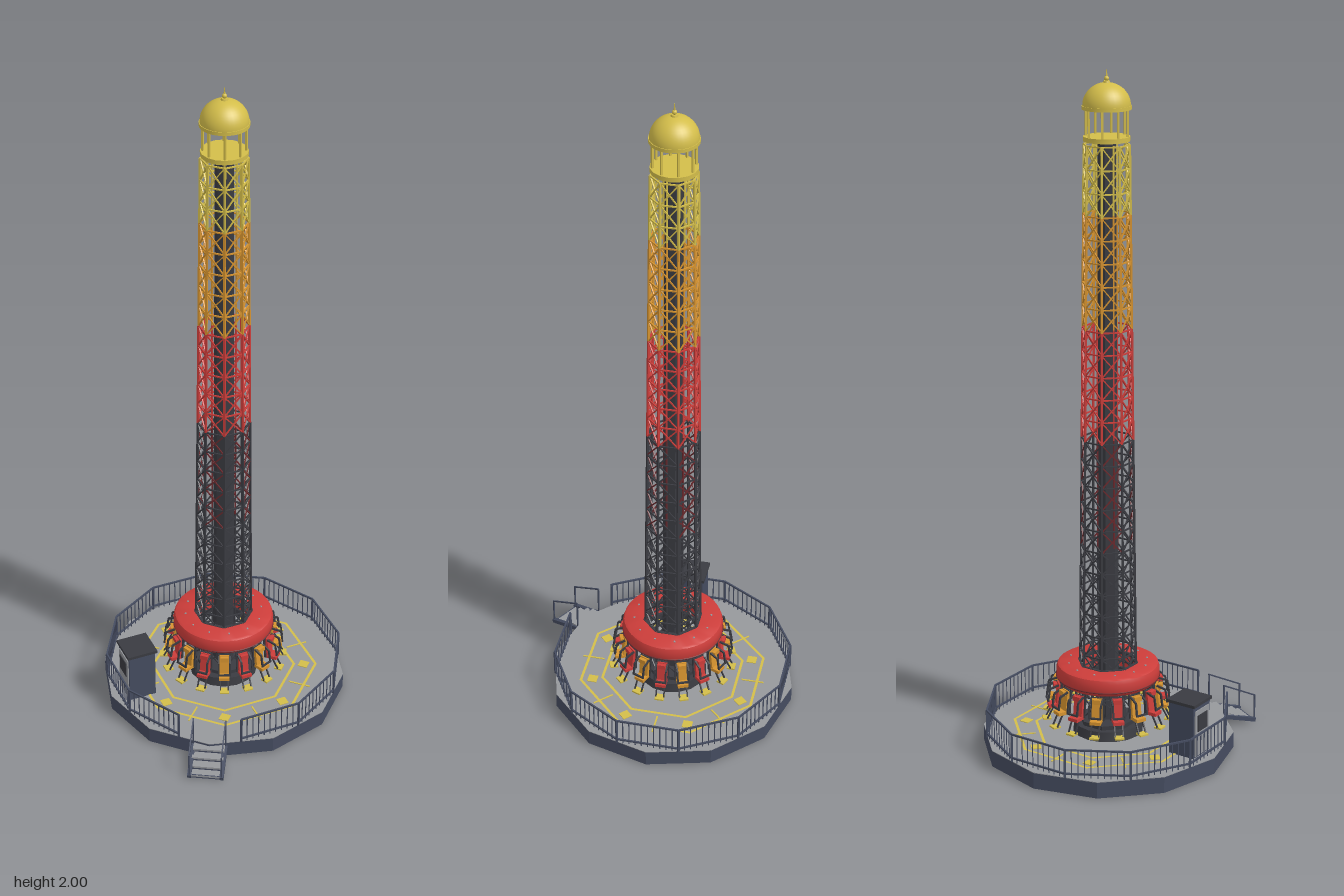
import * as THREE from 'three';
import { mergeGeometries, toCreasedNormals } from 'three/addons/utils/BufferGeometryUtils.js';

const mat = (name, color) => Object.assign(new THREE.MeshStandardMaterial({ color }), { name });
const M = {
  gray: mat('concrete gray', 0x96989c),
  slate: mat('slate blue', 0x454c60),
  charcoal: mat('charcoal', 0x3a3b41),
  darkRed: mat('dark red', 0x6b2a2e),
  red: mat('red', 0xcc3d3a),
  orange: mat('orange', 0xd6932f),
  yellow: mat('yellow', 0xd3bd4a),
};

const V = (x, y, z) => new THREE.Vector3(x, y, z);
// point at angle a from the front toward the left side
const polar = (r, y, a) => V(r * Math.sin(a), y, r * Math.cos(a));
const box = (w, h, d, x, y, z) => new THREE.BoxGeometry(w, h, d).translate(x, y, z);
const cyl = (rt, rb, y0, y1, n, start = 0) =>
  toCreasedNormals(new THREE.CylinderGeometry(rt, rb, y1 - y0, n, 1, false, start).translate(0, (y0 + y1) / 2, 0), n > 12 ? 0.6 : 0.1);

// square bar between two points
function beam(a, b, t) {
  const d = b.clone().sub(a);
  const g = new THREE.BoxGeometry(t, t, d.length());
  const q = new THREE.Matrix4().lookAt(b, a, Math.abs(d.y) > 0.99 * d.length() ? V(1, 0, 0) : V(0, 1, 0));
  return g.applyMatrix4(q).translate((a.x + b.x) / 2, (a.y + b.y) / 2, (a.z + b.z) / 2);
}

export function createModel() {
  const model = new THREE.Group();
  const ride = new THREE.Group();
  ride.name = 'towerRide';
  ride.position.z = -0.055;
  model.add(ride);
  const add = (name, geo, material) => {
    const list = (Array.isArray(geo) ? geo : [geo]).map(g => (g.index ? g.toNonIndexed() : g));
    const mesh = new THREE.Mesh(mergeGeometries(list), material);
    mesh.name = name;
    ride.add(mesh);
    return mesh;
  };
  const TAU = Math.PI * 2, deck = 0.05;

  // platform
  add('platformBase', cyl(0.373, 0.373, 0, deck - 0.002, 12, TAU / 24), M.slate);
  add('platformDeck', cyl(0.373, 0.373, deck - 0.002, deck, 12, TAU / 24), M.gray);

  // painted floor markings
  const paint = [];
  for (const a of [0.203, 0.265]) {
    const c = Math.cos(TAU / 16);
    paint.push(new THREE.RingGeometry((a - 0.004) / c, (a + 0.004) / c, 8, 1, TAU / 16)
      .rotateX(-Math.PI / 2).translate(0, deck + 0.002, 0));
  }
  for (let i = 0; i < 8; i++) {
    const a = i * TAU / 8;
    paint.push(box(0.005, 0.002, 0.068, 0, deck + 0.001, 0.251).rotateY(a));
    const p = polar(0.25, deck + 0.001, a + TAU / 16);
    paint.push(new THREE.BoxGeometry(0.029, 0.002, 0.029).rotateY(i % 2 * TAU / 8).translate(p.x, p.y, p.z));
  }
  add('floorMarkings', paint, M.yellow);

  // railing, open where the stairs arrive
  const rail = [];
  for (let i = 1; i < 12; i++) {
    const a = polar(0.362, 0, i * TAU / 12), b = polar(0.362, 0, (i + 1) * TAU / 12);
    for (const y of [0.062, 0.135]) {
      rail.push(beam(a.clone().setY(y), b.clone().setY(y), 0.005));
    }
    for (let k = 0; k <= 10; k++) {
      const p = a.clone().lerp(b, k / 10);
      rail.push(box(k % 10 ? 0.0025 : 0.006, 0.085, k % 10 ? 0.0025 : 0.006, p.x, 0.0925, p.z));
    }
  }
  add('railing', rail, M.slate);

  // entrance stairs
  const steps = [], stairRail = [];
  for (let i = 0; i < 4; i++) {
    const top = 0.042 - i * 0.011;
    steps.push(box(0.094, 0.006, 0.028, 0, top - 0.003, 0.375 + i * 0.026));
  }
  for (const s of [-0.048, 0.048]) {
    stairRail.push(beam(V(s, 0.137, 0.362), V(s, 0.085, 0.472), 0.004));
    stairRail.push(box(0.004, 0.137, 0.004, s, 0.0685, 0.364), box(0.004, 0.085, 0.004, s, 0.0425, 0.47));
    stairRail.push(beam(V(s, 0.036, 0.362), V(s, 0.006, 0.472), 0.012));
  }
  for (let i = 0; i < 4; i++) stairRail.push(box(0.09, 0.011, 0.003, 0, 0.031 - i * 0.009, 0.387 + i * 0.026));
  const treads = add('stairTreads', steps, M.gray), handrails = add('stairRails', stairRail, M.slate);
  treads.rotation.y = handrails.rotation.y = TAU / 24;

  // operator booth
  const booth = (name, g, m) => {
    const mesh = add(name, g, m);
    mesh.position.set(-0.202, 0, 0.202);
    mesh.rotation.y = -TAU / 8;
  };
  booth('boothBody', box(0.084, 0.16, 0.084, 0, deck + 0.08, 0), M.slate);
  booth('boothRoof', box(0.095, 0.009, 0.095, 0, 0.2135, 0), M.charcoal);
  booth('boothFront', box(0.072, 0.14, 0.004, 0, deck + 0.075, 0.043), M.gray);
  booth('boothWindow', box(0.05, 0.05, 0.003, 0, 0.155, 0.046), M.charcoal);

  // tower foot and core
  add('towerPlinth', [cyl(0.1, 0.105, deck, 0.078, 16), cyl(0.085, 0.085, 0.078, 0.09, 8, TAU / 16)], M.charcoal);
  add('towerCore', cyl(0.026, 0.032, 0.078, 1.8, 8, TAU / 16), M.charcoal);

  // octagonal lattice, coloured in bands of bays
  const bay = 0.065, y0 = 0.04;
  const radius = y => 0.087 - (y / 1.8) * 0.022;
  const bands = [
    ['lowerLattice', 1, 9, M.charcoal, M.charcoal], ['lowerMiddleLattice', 9, 14, M.charcoal, M.darkRed],
    ['redLattice', 14, 19, M.red, M.red], ['orangeLattice', 19, 24, M.orange, M.orange],
    ['topLattice', 24, 27, M.yellow, M.yellow],
  ];
  for (const [name, from, to, frameMat, braceMat] of bands) {
    const frame = [], brace = [], inner = [];
    for (let i = from; i < to; i++) {
      const ya = y0 + i * bay, yb = ya + bay;
      for (let k = 0; k < 8; k++) {
        const a = (k + 0.5) * TAU / 8, b = a + TAU / 8;
        const la = polar(radius(ya), ya, a), ua = polar(radius(yb), yb, a);
        const lb = polar(radius(ya), ya, b), ub = polar(radius(yb), yb, b);
        frame.push(beam(la, ua, 0.006), beam(ua, ub, 0.004));
        (k % 2 ? brace : frame).push(beam(la, ub, 0.0035), beam(lb, ua, 0.0035));
        if (k % 2) inner.push(beam(polar(0.034, ya, b), polar(0.034, yb, b), 0.004));
      }
    }
    add(name + 'Frame', frame, frameMat);
    add(name + 'Braces', brace.concat(inner), braceMat);
  }

  // crown: ring, posts, dome and finial
  const crown = [cyl(0.066, 0.066, 1.805, 1.818, 16), cyl(0.069, 0.069, 1.892, 1.902, 32)];
  for (let k = 0; k < 8; k++) {
    const a = (k + 0.5) * TAU / 8;
    crown.push(beam(polar(0.059, 1.815, a), polar(0.059, 1.895, a), 0.006));
  }
  add('crownFrame', crown, M.yellow);
  const dome = new THREE.SphereGeometry(0.067, 32, 12, 0, TAU, 0, Math.PI / 2).scale(1, 0.95, 1).translate(0, 1.902, 0);
  add('dome', dome, M.yellow);
  add('finial', [cyl(0.009, 0.011, 1.962, 1.97, 16), new THREE.SphereGeometry(0.007, 12, 8).translate(0, 1.976, 0),
    cyl(0.001, 0.003, 1.976, 2, 8)], M.yellow);

  // ring-shaped gondola
  const profile = [[0.083, 0.21], [0.14, 0.21], [0.149, 0.218], [0.152, 0.226], [0.152, 0.25],
    [0.148, 0.261], [0.141, 0.265], [0.083, 0.265], [0.083, 0.21]].map(p => new THREE.Vector2(...p));
  add('gondolaRing', toCreasedNormals(new THREE.LatheGeometry(profile, 48), 0.7), M.red);
  add('gondolaTrim', new THREE.TorusGeometry(0.152, 0.002, 6, 48).rotateX(Math.PI / 2).translate(0, 0.224, 0), M.darkRed);
  const bolts = [], collar = [];
  for (let i = 0; i < 12; i++) {
    const p = polar(0.117, 0, i * TAU / 12);
    bolts.push(cyl(0.003, 0.003, 0.264, 0.267, 8).translate(p.x, 0, p.z));
  }
  for (let k = 0; k < 8; k++) {
    const a = (k + 0.5) * TAU / 8, r = 0.086;
    for (const y of [0.212, 0.262]) collar.push(beam(polar(r, y, a), polar(r, y, a + TAU / 8), 0.009));
  }
  add('ringBolts', bolts, M.gray);
  add('gondolaCollar', collar, M.charcoal);
  add('gondolaUnderside', new THREE.RingGeometry(0.083, 0.14, 48).rotateX(Math.PI / 2).translate(0, 0.2085, 0), M.charcoal);

  // sixteen outward-facing seats, alternating colours
  const shells = { red: [], orange: [] }, frames = [], rests = [];
  for (let i = 0; i < 16; i++) {
    const put = (list, ...gs) => gs.forEach(g => list.push(g.rotateY(i * TAU / 16)));
    put(i % 2 ? shells.orange : shells.red,
      new THREE.BoxGeometry(0.03, 0.068, 0.009).rotateX(-0.12).translate(0, 0.172, 0.149),
      box(0.032, 0.01, 0.036, 0, 0.14, 0.162),
      box(0.024, 0.014, 0.01, 0, 0.2, 0.158));
    for (const s of [-0.017, 0.017]) {
      put(frames,
        beam(V(s, 0.212, 0.138), V(s, 0.138, 0.146), 0.005),
        beam(V(s, 0.205, 0.15), V(s, 0.195, 0.176), 0.005),
        beam(V(s, 0.195, 0.176), V(s, 0.155, 0.182), 0.005),
        beam(V(s * 0.7, 0.137, 0.165), V(s * 0.7, 0.1, 0.184), 0.004));
    }
    put(frames, box(0.036, 0.005, 0.005, 0, 0.157, 0.181), box(0.034, 0.07, 0.004, 0, 0.172, 0.142));
    put(rests, box(0.027, 0.005, 0.024, 0, 0.099, 0.184));
  }
  add('redSeats', shells.red, M.red);
  add('orangeSeats', shells.orange, M.orange);
  add('seatFrames', frames, M.charcoal);
  add('footrests', rests, M.yellow);

  return model;
}
